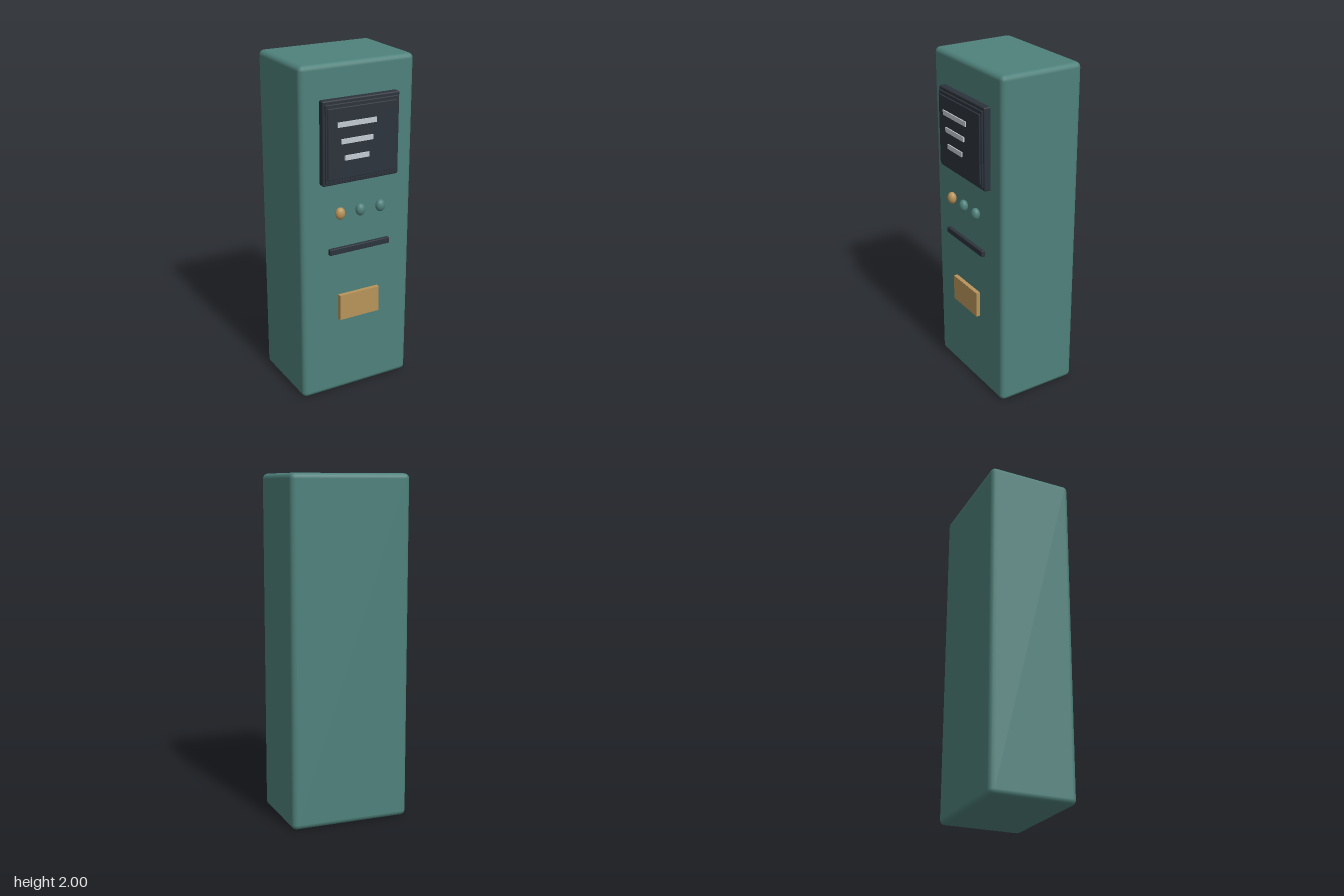
import * as THREE from 'three';
import { RoundedBoxGeometry } from 'three/addons/geometries/RoundedBoxGeometry.js';

function material(name, color) {
  const m = new THREE.MeshStandardMaterial({ color });
  m.name = name;
  return m;
}

export function createModel() {
  const group = new THREE.Group();
  group.name = 'kiosk';
  const teal = material('teal', 0x4f817b);
  const charcoal = material('charcoal', 0x2d343c);
  const amber = material('amber', 0xb8935a);
  const paleGrey = material('pale grey', 0xc3cbd2);

  // Box from its x, y and z ranges, with optional rounded edges
  function box(name, mat, [x0, x1], [y0, y1], [z0, z1], radius = 0) {
    const size = [x1 - x0, y1 - y0, z1 - z0];
    const geometry = radius
      ? new RoundedBoxGeometry(...size, 2, radius)
      : new THREE.BoxGeometry(...size);
    const mesh = new THREE.Mesh(geometry, mat);
    mesh.name = name;
    mesh.position.set((x0 + x1) / 2, (y0 + y1) / 2, (z0 + z1) / 2);
    group.add(mesh);
  }

  // Cabinet
  box('cabinet', teal, [-0.356, 0.356], [0, 2], [-0.285, 0.222], 0.03);

  // Stepped screen
  box('screenFrame', charcoal, [-0.24, 0.24], [1.333, 1.81], [0.2, 0.26], 0.008);
  box('screenBezel', charcoal, [-0.227, 0.227], [1.35, 1.79], [0.25, 0.269], 0.004);
  box('screenPanel', charcoal, [-0.216, 0.216], [1.368, 1.77], [0.26, 0.277], 0.004);

  // Lines on the screen
  const lines = [[-0.16, 0.082, 1.677], [-0.137, 0.06, 1.582], [-0.115, 0.038, 1.487]];
  for (const [x0, x1, y] of lines) {
    box('screenLine', paleGrey, [x0, x1], [y - 0.014, y + 0.014], [0.275, 0.284]);
  }

  // Row of oval buttons
  const buttonGeometry = new THREE.SphereGeometry(1, 20, 14);
  [amber, teal, teal].forEach((mat, i) => {
    const button = new THREE.Mesh(buttonGeometry, mat);
    button.name = 'button';
    button.position.set((i - 1) * 0.13, 1.158, 0.255);
    button.scale.set(0.029, 0.036, 0.025);
    group.add(button);
  });

  // Card slot and label plate
  box('cardSlot', charcoal, [-0.195, 0.195], [0.911, 0.947], [0.233, 0.256], 0.004);
  box('labelPlate', amber, [-0.13, 0.13], [0.488, 0.645], [0.231, 0.256]);

  return group;
}
